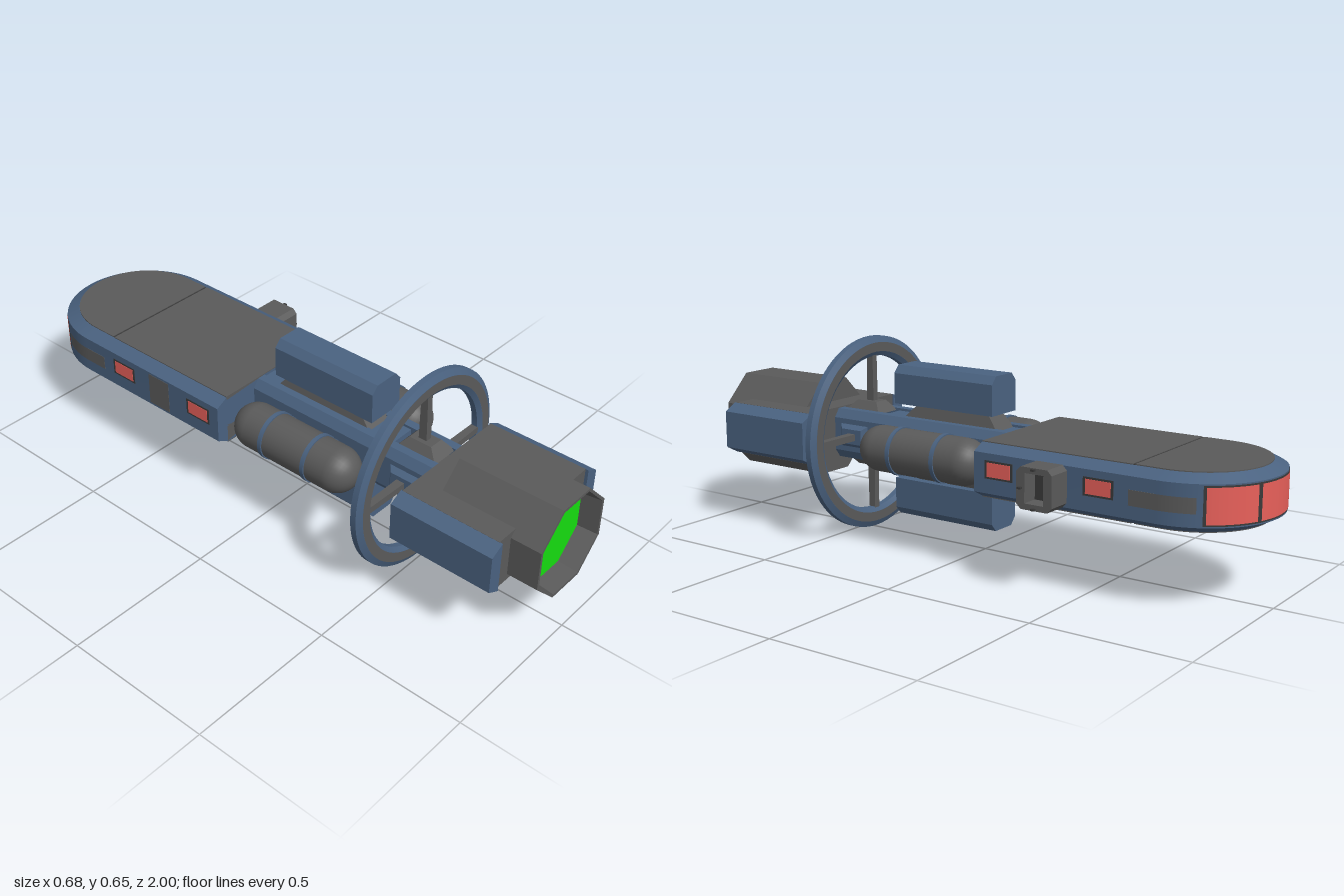
import * as THREE from 'three';
import { toCreasedNormals } from 'three/addons/utils/BufferGeometryUtils.js';

const paint = (color) => new THREE.MeshStandardMaterial({ color, side: THREE.DoubleSide });
const V = (x, y, z) => new THREE.Vector3(x, y, z);

// Solid through matching convex rings, capped at both ends, faces turned outward
function loft(rings) {
  const tris = [], n = rings[0].length, last = rings[rings.length - 1];
  for (let k = 0; k + 1 < rings.length; k++) {
    const a = rings[k], b = rings[k + 1];
    for (let i = 0; i < n; i++) {
      const j = (i + 1) % n;
      tris.push([a[i], a[j], b[j]], [a[i], b[j], b[i]]);
    }
  }
  for (let i = 1; i + 1 < n; i++) {
    tris.push([rings[0][0], rings[0][i + 1], rings[0][i]], [last[0], last[i], last[i + 1]]);
  }
  const mid = rings.flat().reduce((s, p) => s.add(p), V(0, 0, 0)).divideScalar(n * rings.length);
  let volume = 0;
  for (const [a, b, c] of tris) {
    volume += a.clone().sub(mid).dot(b.clone().sub(mid).cross(c.clone().sub(mid)));
  }
  if (volume < 0) tris.forEach((t) => t.reverse());
  const g = new THREE.BufferGeometry().setFromPoints(tris.flat());
  g.computeVertexNormals();
  return toCreasedNormals(g, 0.3);
}

// Constant section in x and y, running along z
const prism = (pts, z0, z1) => loft([z0, z1].map((z) => pts.map(([x, y]) => V(x, y, z))));

// Tapered block rising along +y: [half width x, z start, z end] at each height
const taper = (y0, [w0, a0, b0], y1, [w1, a1, b1]) => loft([
  [V(-w0, y0, a0), V(w0, y0, a0), V(w0, y0, b0), V(-w0, y0, b0)],
  [V(-w1, y1, a1), V(w1, y1, a1), V(w1, y1, b1), V(-w1, y1, b1)],
]);

// Tail outline: straight front at zFront, half round behind
const TAIL_Z = -0.742;
function tailRing(r, y, zFront) {
  const ring = [V(r, y, zFront)];
  for (let i = 0; i <= 36; i++) {
    const t = (i / 36) * Math.PI;
    ring.push(V(r * Math.cos(t), y, TAIL_Z - r * Math.sin(t)));
  }
  ring.push(V(-r, y, zFront));
  return ring;
}

export function createModel() {
  const model = new THREE.Group();
  model.position.set(-0.015, 0.327, 0);
  const root = new THREE.Group();
  root.add(model);

  const blue = paint(0x4a6280), grey = paint(0x5a5a5a), dark = paint(0x3a3a3a);
  const red = paint(0xe8605a), green = paint(0x16dd10);

  function add(name, geometry, material, x = 0, y = 0, z = 0) {
    const mesh = new THREE.Mesh(geometry, material);
    mesh.name = name;
    mesh.position.set(x, y, z);
    model.add(mesh);
    return mesh;
  }
  const box = (w, h, d) => new THREE.BoxGeometry(w, h, d);

  // Front dish: hollow octagon with a glowing plate inside
  const oct = (apothem) => apothem / Math.cos(Math.PI / 8);
  const dishProfile = [[0, 0.65], [oct(0.159), 0.65], [oct(0.159), 1], [oct(0.15), 1],
    [oct(0.143), 0.93]].map(([r, z]) => new THREE.Vector2(r, z));
  const dish = new THREE.LatheGeometry(dishProfile, 8).rotateX(Math.PI / 2).rotateZ(Math.PI / 8);
  add('frontDish', toCreasedNormals(dish, 0.1), grey);
  add('dishGlow', new THREE.CircleGeometry(oct(0.144), 8).rotateZ(Math.PI / 8), green, 0, 0, 0.935);

  // Front housing with sloped cheeks
  add('frontHousing', box(0.43, 0.173, 0.335), grey, 0, 0, 0.7325);
  for (const s of [1, -1]) {
    add('housingCheek', prism([[s * 0.214, -0.0865], [s * 0.26, -0.062],
      [s * 0.26, 0.062], [s * 0.214, 0.0865]], 0.56, 0.91), blue);
  }

  // Neck: two chamfered rails around a core
  for (const s of [1, -1]) {
    add('neckRail', prism([[s * 0.043, -0.083], [s * 0.072, -0.083], [s * 0.092, -0.055],
      [s * 0.092, 0.055], [s * 0.072, 0.083], [s * 0.043, 0.083]], -0.14, 0.57), blue);
  }
  add('neckCore', box(0.09, 0.11, 0.71), grey, 0, 0, 0.215);
  add('neckCover', box(0.09, 0.15, 0.53), blue, 0, 0, 0.13);

  // Ring with flat grey faces
  const ringProfile = [[0.26, -0.01], [0.275, -0.02], [0.306, -0.02], [0.326, -0.01],
    [0.326, 0.01], [0.306, 0.02], [0.275, 0.02], [0.26, 0.01], [0.26, -0.01]]
    .map(([r, z]) => new THREE.Vector2(r, z));
  const ring = new THREE.LatheGeometry(ringProfile, 72).rotateX(Math.PI / 2);
  add('ring', toCreasedNormals(ring, 0.35), blue, 0, 0, 0.477);
  for (const s of [1, -1]) {
    add('ringFace', new THREE.RingGeometry(0.275, 0.306, 72), grey, 0, 0, 0.477 + s * 0.0208);
  }

  // Four struts and their feet
  for (let i = 0; i < 4; i++) {
    const angle = (i * Math.PI) / 2;
    add('strutFoot', taper(0.075, [0.05, 0.41, 0.555], 0.11, [0.025, 0.44, 0.52]),
      i % 2 ? blue : grey).rotation.z = angle;
    add('strut', taper(0.08, [0.011, 0.463, 0.493], 0.266, [0.011, 0.465, 0.489]),
      grey).rotation.z = angle;
  }

  // Upper and lower pods on tapered pylons
  for (const s of [1, -1]) {
    add('podPylon', taper(s * 0.07, [0.05, -0.07, 0.31], s * 0.13, [0.035, -0.02, 0.25]), grey);
    add('pod', prism([[-0.065, s * 0.125], [0.065, s * 0.125], [0.065, s * 0.225],
      [0.043, s * 0.25], [-0.043, s * 0.25], [-0.065, s * 0.225]], -0.06, 0.328), blue);
  }

  // Side tanks with bands and clamps
  for (const s of [1, -1]) {
    add('sideTank', new THREE.CapsuleGeometry(0.075, 0.325, 10, 28).rotateX(Math.PI / 2),
      grey, s * 0.175, 0, 0.127);
    for (const z of [0.04, 0.213]) {
      add('tankBand', new THREE.CylinderGeometry(0.079, 0.079, 0.014, 28).rotateX(Math.PI / 2),
        blue, s * 0.175, 0, z);
      add('tankClamp', box(0.05, 0.05, 0.02), blue, s * 0.1, 0, z);
    }
  }

  // Tail body with bevelled rim, and deck plates above and below
  add('tailBody', loft([tailRing(0.216, -0.084, -0.13), tailRing(0.258, -0.062, -0.13),
    tailRing(0.258, 0.062, -0.13), tailRing(0.216, 0.084, -0.13)]), blue);
  add('deckFront', box(0.432, 0.174, 0.516), grey, 0, 0, -0.388);
  add('deckRear', loft([tailRing(0.215, -0.087, -0.654), tailRing(0.215, 0.087, -0.654)]), grey);
  add('deckSeam', box(0.43, 0.17, 0.01), dark, 0, 0, -0.65);

  // Curved panels round the end of the tail, angles in degrees from the front
  function arcPanel(name, r, h, from, to, material) {
    const a = THREE.MathUtils.degToRad(from), span = THREE.MathUtils.degToRad(to - from);
    add(name, new THREE.CylinderGeometry(r, r, h, 24, 1, true, a, span), material, 0, 0, TAIL_Z);
  }
  arcPanel('tailLightFrame', 0.2585, 0.116, 120, 240, dark);
  for (const [from, to] of [[122, 156.5], [159.5, 200.5], [203.5, 238]]) {
    arcPanel('tailLight', 0.2595, 0.106, from, to, red);
  }
  for (const s of [1, -1]) {
    arcPanel('tailSlotCurve', 0.259, 0.046, s > 0 ? 90 : 244, s > 0 ? 116 : 270, grey);
    add('tailSlot', box(0.004, 0.046, 0.085), grey, s * 0.257, 0, -0.7);
    // Side windows and the fitting plate between them
    for (const z of [-0.218, -0.56]) {
      add('windowFrame', box(0.004, 0.056, 0.1), dark, s * 0.257, 0.012, z);
      add('sideWindow', box(0.004, 0.044, 0.084), red, s * 0.258, 0.012, z);
    }
    add('fittingPlate', box(0.004, 0.11, 0.09), grey, s * 0.257, 0, -0.395);
  }

  // Open fitting on the left side
  const outline = new THREE.Shape([[-0.06, -0.048], [-0.045, -0.063], [0.045, -0.063], [0.06, -0.048],
    [0.06, 0.048], [0.045, 0.063], [-0.045, 0.063], [-0.06, 0.048]]
    .map(([x, y]) => new THREE.Vector2(x, y)));
  outline.holes.push(new THREE.Path([[-0.032, -0.045], [-0.032, 0.045], [0.032, 0.045], [0.032, -0.045]]
    .map(([x, y]) => new THREE.Vector2(x, y))));
  const fitting = new THREE.ExtrudeGeometry(outline, { depth: 0.084, bevelEnabled: false });
  add('sideFitting', fitting.rotateY(Math.PI / 2), grey, 0.256, 0, -0.397);
  add('fittingBack', box(0.02, 0.1, 0.07), dark, 0.275, 0, -0.397);
  for (const y of [-0.058, 0, 0.058]) {
    add('fittingStud', box(0.01, 0.006, 0.012), dark, 0.345, y, -0.397 + (y ? 0 : 0.046));
  }
  return root;
}
